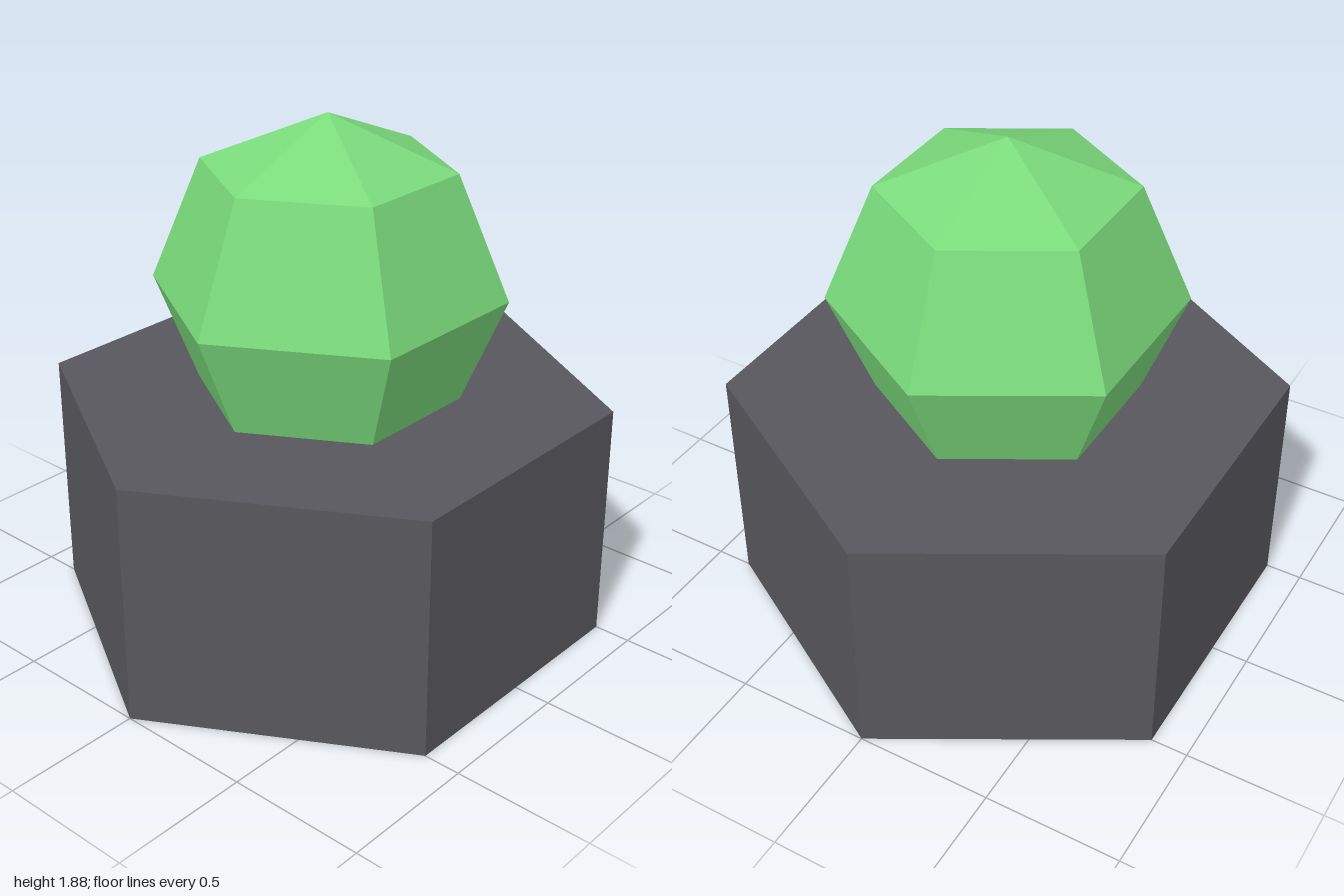
import * as THREE from 'three';

export function createModel() {
  const model = new THREE.Group();
  model.name = 'domeButton';

  const baseGray = new THREE.MeshStandardMaterial({ color: 0x58575d, flatShading: true });
  baseGray.name = 'dark gray';
  const domeGreen = new THREE.MeshStandardMaterial({ color: 0x7bdb7c, flatShading: true });
  domeGreen.name = 'light green';

  // Hexagonal base with corners facing front and back
  const baseHeight = 0.875;
  const base = new THREE.Mesh(new THREE.CylinderGeometry(1, 1, baseHeight, 6), baseGray);
  base.name = 'base';
  base.position.y = baseHeight / 2;
  model.add(base);

  // Six-sided faceted ball, partly sunk into the base, corners aligned with it
  const ball = new THREE.Mesh(new THREE.SphereGeometry(0.625, 6, 4, Math.PI / 2), domeGreen);
  ball.name = 'ball';
  ball.position.y = 1.25;
  model.add(ball);

  return model;
}
